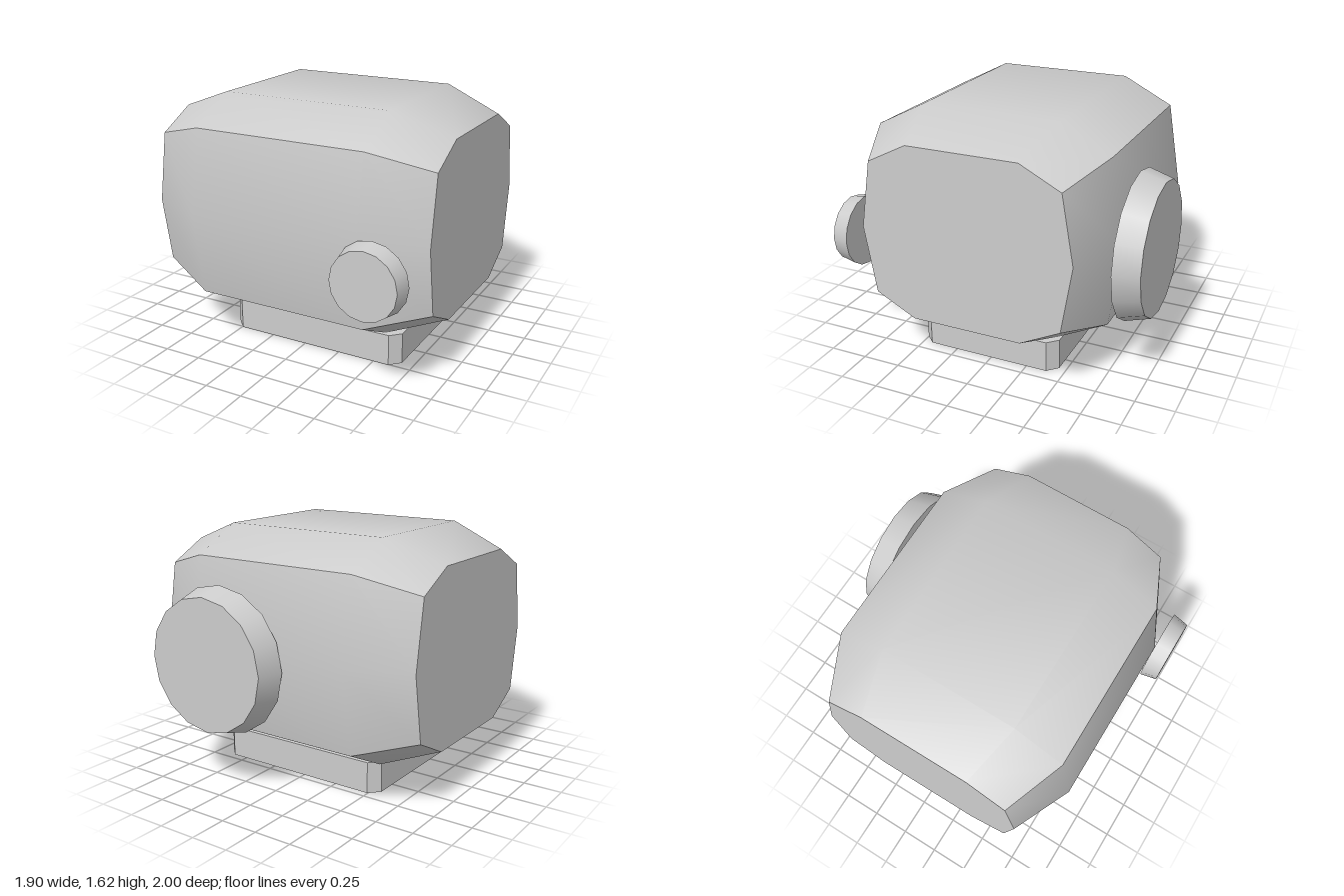
import * as THREE from 'three';
import { toCreasedNormals } from 'three/addons/utils/BufferGeometryUtils.js';

const grey = new THREE.MeshStandardMaterial({ color: 0xcccccc });
grey.name = 'light grey';

function addPart(group, name, geometry) {
  const mesh = new THREE.Mesh(geometry, grey);
  mesh.name = name;
  group.add(mesh);
  return mesh;
}

// Ten-sided barrel along x, tapering at both ends
function bodyGeometry() {
  const cy = 0.912, cz = 0.025;
  // section as [toward -z, up], counter-clockwise seen from +x
  const section = [
    [0.865, 0], [0.775, 0.542], [0.45, 0.708], [-0.45, 0.708], [-0.775, 0.542],
    [-0.865, 0], [-0.775, -0.542], [-0.45, -0.708], [0.45, -0.708], [0.775, -0.542],
  ];
  const rings = [[-0.95, 0.8], [-0.57, 1], [0.57, 1], [0.95, 0.8]].map(([x, s]) =>
    section.map(([w, h]) => [x, cy + h * s, cz - w * s]));
  const n = section.length, pos = [];
  const tri = (a, b, c) => pos.push(...a, ...b, ...c);
  for (let i = 0; i < 3; i++) {
    for (let j = 0; j < n; j++) {
      const k = (j + 1) % n;
      const a = rings[i][j], b = rings[i + 1][j], c = rings[i + 1][k], d = rings[i][k];
      tri(a, d, c);
      tri(a, c, b);
    }
  }
  // flat ends
  for (let j = 1; j < n - 1; j++) {
    tri(rings[3][0], rings[3][j], rings[3][j + 1]);
    tri(rings[0][0], rings[0][j + 1], rings[0][j]);
  }
  const g = new THREE.BufferGeometry();
  g.setAttribute('position', new THREE.Float32BufferAttribute(pos, 3));
  return toCreasedNormals(g, 0.7);
}

// Rectangular foot with cut corners
function baseGeometry() {
  const w = 0.615, d = 0.478, c = 0.065;
  const shape = new THREE.Shape([
    [w - c, -d], [w, -d + c], [w, d - c], [w - c, d],
    [-w + c, d], [-w, d - c], [-w, -d + c], [-w + c, -d],
  ].map(([x, y]) => new THREE.Vector2(x, y)));
  return new THREE.ExtrudeGeometry(shape, { depth: 0.205, bevelEnabled: false })
    .rotateX(-Math.PI / 2)
    .translate(0.055, 0, 0.027);
}

// Tapered disc whose narrow end points along z in the given direction
function knobGeometry(rOuter, rInner, depth, direction) {
  return new THREE.CylinderGeometry(rOuter, rInner, depth, 16)
    .rotateX(direction * Math.PI / 2);
}

export function createModel() {
  const model = new THREE.Group();
  model.name = 'model';
  addPart(model, 'body', bodyGeometry());
  addPart(model, 'base', baseGeometry());
  addPart(model, 'frontKnob', knobGeometry(0.213, 0.235, 0.11, 1)).position.set(0.67, 0.745, 0.945);
  addPart(model, 'backKnob', knobGeometry(0.428, 0.475, 0.16, -1)).position.set(0.335, 0.828, -0.92);
  return model;
}
